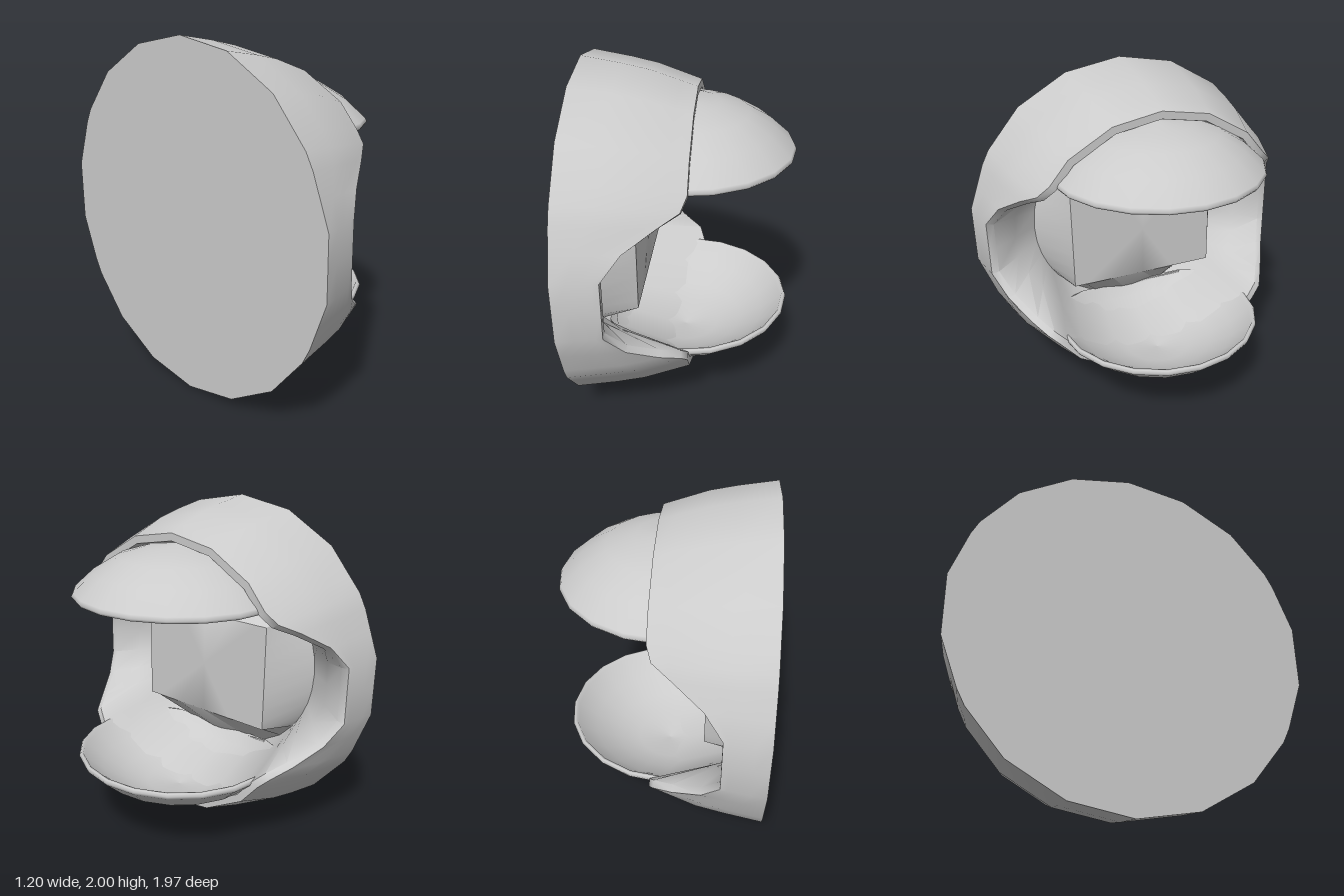
import * as THREE from 'three';
import { toCreasedNormals } from 'three/addons/utils/BufferGeometryUtils.js';

const grey = () => new THREE.MeshStandardMaterial({ color: 0xcccccc, side: THREE.DoubleSide });
const clamp = THREE.MathUtils.clamp;

// Piecewise linear lookup through [input, output] pairs
function lookup(pairs, v) {
  for (let i = 1; i < pairs.length; i++) {
    const [a, fa] = pairs[i - 1], [b, fb] = pairs[i];
    if (v <= b) return fa + (fb - fa) * clamp((v - a) / (b - a), 0, 1);
  }
  return pairs[pairs.length - 1][1];
}

// How far forward the rim reaches, by degrees away from the horizontal
const rimReach = [[0, -0.36], [10, -0.36], [18.5, -0.26], [26.5, -0.1], [32, 0.01], [38, 0.04], [90, 0.04]];
// Outer radius along x
const shellRadius = [[-0.6, 1], [-0.26, 0.945], [0.04, 0.845]];

// Columns around the shell: an 18-sided outline plus extra ones along the side notches
function columnAngles() {
  const quarter = [10, 18.5, 26.5, 32, 38, 50, 70];
  const back = quarter.map(a => 180 - a).reverse();
  const half = [0, ...quarter, 90, ...back];
  return [...half, ...half.map(a => a + 180)];
}

function shellGeometry() {
  const angles = columnAngles();
  const columns = angles.map(deg => {
    const rad = deg * Math.PI / 180;
    const c = Math.cos(rad), s = Math.sin(rad);
    const fromSide = Math.asin(Math.min(1, Math.abs(s))) * 180 / Math.PI;
    const rim = lookup(rimReach, fromSide);
    // Flatten onto the chords of the 18-sided outline (corners at 10, 30, 50...)
    const off = ((deg + 360) % 20) * Math.PI / 180;
    const flat = Math.cos(Math.PI / 18) / Math.cos(Math.min(off, Math.PI / 9 - off) === off ? off : Math.PI / 9 - off);
    const at = (x, r) => [x, 1 + r * s, r * c];
    const outer = [0, 0.35, 0.6, 0.85, 1].map(t => {
      const x = -0.6 + (rim + 0.6) * t;
      return at(x, lookup(shellRadius, x) * flat);
    });
    const lip = lookup(shellRadius, rim) * flat - 0.045;
    return [
      at(-0.6, 0), ...outer,
      at(rim, lip),                                       // inner lip
      at((rim - 0.55) / 2, (lip + 0.62) / 2),             // cavity wall
      at(-0.55, 0.62),                                    // groove
      [-0.26, 1 + clamp(0.6 * s, -0.32, 0.32), clamp(0.6 * c, -0.46, 0.46)], // raised floor
      [-0.26, 1, 0]
    ];
  });
  const rows = columns[0].length, n = columns.length;
  const index = [];
  for (let j = 0; j < n; j++) {
    const k = (j + 1) % n;
    for (let i = 0; i < rows - 1; i++) {
      const a = j * rows + i, b = k * rows + i;
      if (i < rows - 2) index.push(a, a + 1, b + 1);
      if (i > 0) index.push(a, b + 1, b);
      if (i === rows - 2) index.pop(), index.pop(), index.pop(), index.push(a, a + 1, b);
    }
  }
  const geo = new THREE.BufferGeometry();
  geo.setAttribute('position', new THREE.Float32BufferAttribute(columns.flat(2), 3));
  geo.setIndex(index);
  return toCreasedNormals(geo, 0.8);
}

// Thin shallow dome, its back cut short where it sinks into the shell
function domeGeometry() {
  const profile = [
    [0, 0.265], [0.2, 0.235], [0.34, 0.185], [0.48, 0.105], [0.59, 0.01], [0.6, -0.01],
    [0.615, -0.01], [0.625, 0.005], [0.615, 0.025], [0.5, 0.13], [0.36, 0.215], [0.2, 0.262], [0, 0.285]
  ].map(p => new THREE.Vector2(...p));
  const geo = new THREE.LatheGeometry(profile, 20);
  const pos = geo.attributes.position;
  for (let i = 0; i < pos.count; i++) pos.setX(i, Math.max(pos.getX(i) - 0.03, -0.45));
  return geo;
}

export function createModel() {
  const model = new THREE.Group();
  model.name = 'openJawDome';

  const shell = new THREE.Mesh(shellGeometry(), grey());
  shell.name = 'shell';
  model.add(shell);

  // Upper and lower jaw plates mirror each other
  for (const side of [1, -1]) {
    const plate = new THREE.Mesh(domeGeometry(), grey());
    plate.name = side > 0 ? 'upperJawPlate' : 'lowerJawPlate';
    plate.position.y = 1 + side * 0.495;
    plate.scale.y = side;
    model.add(plate);
  }
  return model;
}
